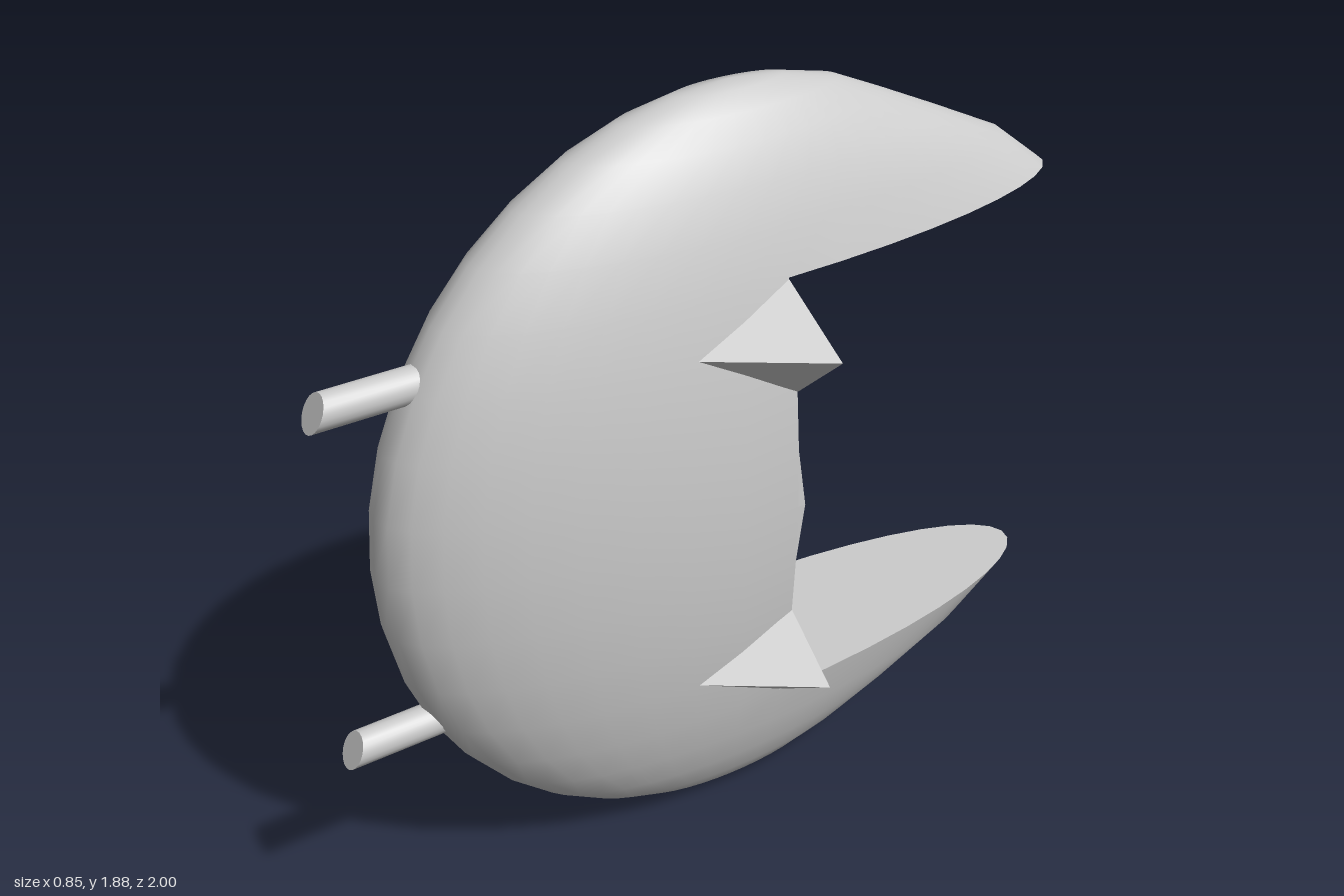
import * as THREE from 'three';
import { ConvexGeometry } from 'three/addons/geometries/ConvexGeometry.js';

const MID_Y = 0.9425, Z0 = -0.05;                // centre of the lens-shaped hull
const RX = 0.285, RY = 0.9425, RZ = 0.935;
const CUT = Math.asin(0.5575 / RY);              // latitude where the rear opening ends
const COLS = 40, HALF = 10;                      // rows run from -HALF to HALF, opening within +-4
const JAW = [0.95, 0.8, 0.595, 0.425, 0.295, 0.145, 0]; // rear reach of each jaw row

const latitude = (k) => {
  const n = Math.abs(k);
  return Math.sign(k) * (n <= 4 ? CUT * n / 4 : CUT + (Math.PI / 2 - CUT) * (n - 4) / 6);
};
const rowY = (k) => MID_Y + RY * Math.sin(latitude(k));
const rowWidth = (k) => RX * Math.cos(latitude(k));

function grid(positions, index) {
  const g = new THREE.BufferGeometry();
  g.setAttribute('position', new THREE.Float32BufferAttribute(positions, 3));
  g.setIndex(index);
  g.computeVertexNormals();
  return g;
}

// Smooth shell: elliptical rings, rear faces left out across the opening
function shellGeometry() {
  const pos = [], idx = [];
  for (let k = -HALF; k <= HALF; k++) {
    const front = RZ * Math.cos(latitude(k));
    const rear = Math.abs(k) >= 4 ? JAW[Math.abs(k) - 4] : front;
    for (let j = 0; j < COLS; j++) {
      const p = (j / COLS) * Math.PI * 2, c = Math.cos(p);
      pos.push(rowWidth(k) * Math.sin(p), rowY(k), Z0 + c * (c > 0 ? front : rear));
    }
  }
  for (let k = -HALF; k < HALF; k++) {
    for (let j = 0; j < COLS; j++) {
      const isRear = j >= COLS / 4 && j < COLS * 3 / 4;
      if (isRear && k >= -4 && k < 4) continue;
      const a = (k + HALF) * COLS + j, b = (k + HALF) * COLS + (j + 1) % COLS;
      idx.push(a, b, b + COLS, a, b + COLS, a + COLS);
    }
  }
  const g = grid(pos, idx);
  for (let j = 0; j < COLS; j++) {
    g.attributes.normal.setXYZ(j, 0, -1, 0);
    g.attributes.normal.setXYZ(2 * HALF * COLS + j, 0, 1, 0);
  }
  return g;
}

// Back wall of the opening, with a shallow ridge across its middle
function wallGeometry() {
  const pos = [], idx = [];
  for (let k = -4; k <= 4; k++) {
    const w = rowWidth(k), y = rowY(k), z = k === 0 ? Z0 - 0.02 : Z0;
    pos.push(w, y, Z0, w, y, z, -w, y, z, -w, y, Z0);
  }
  for (let r = 0; r < 8; r++) {
    for (let c = 0; c < 3; c++) {
      const a = r * 4 + c;
      idx.push(a, a + 1, a + 5, a, a + 5, a + 4);
    }
  }
  return grid(pos, idx);
}

// Flat inner face of a jaw
function jawFaceGeometry(top) {
  const g = new THREE.CircleGeometry(1, COLS / 2, 0, Math.PI);
  g.scale(rowWidth(4), JAW[0], 1).rotateX(-Math.PI / 2);
  if (top) g.rotateZ(Math.PI);
  return g.translate(0, rowY(top ? 4 : -4), Z0);
}

// Four-cornered fin beside the opening
function finGeometry(side, end) {
  const point = (x, d, z) => new THREE.Vector3(side * x, MID_Y + end * d, z);
  return new ConvexGeometry([
    point(0.225, 0.5575, Z0), point(0.272, 0.295, Z0),
    point(0.425, 0.43, Z0), point(0.24, 0.43, 0.2), point(0.18, 0.43, Z0),
  ]);
}

// Round peg with a slanted tip
function pegGeometry() {
  const g = new THREE.CylinderGeometry(0.041, 0.041, 0.38, 20).rotateX(Math.PI / 2);
  const p = g.attributes.position;
  for (let i = 0; i < p.count; i++) {
    p.setZ(i, p.getZ(i) > 0 ? 0.98 - 0.49 * p.getY(i) : 0.6);
  }
  g.computeVertexNormals();
  return g;
}

export function createModel() {
  const model = new THREE.Group();
  const smooth = new THREE.MeshStandardMaterial({ color: 0xcccccc });
  const flat = new THREE.MeshStandardMaterial({ color: 0xcccccc, flatShading: true });
  const add = (name, geometry, material) => {
    const mesh = new THREE.Mesh(geometry, material);
    mesh.name = name;
    model.add(mesh);
    return mesh;
  };

  add('hull', shellGeometry(), smooth);
  add('backWall', wallGeometry(), flat);
  add('upperJawFace', jawFaceGeometry(true), flat);
  add('lowerJawFace', jawFaceGeometry(false), flat);

  for (const end of [1, -1]) {
    const level = end > 0 ? 'upper' : 'lower';
    add(level + 'Peg', pegGeometry(), smooth).position.y = end > 0 ? 1.384 : 0.52;
    for (const side of [1, -1]) {
      add(level + (side > 0 ? 'LeftFin' : 'RightFin'), finGeometry(side, end), flat);
    }
  }
  return model;
}
